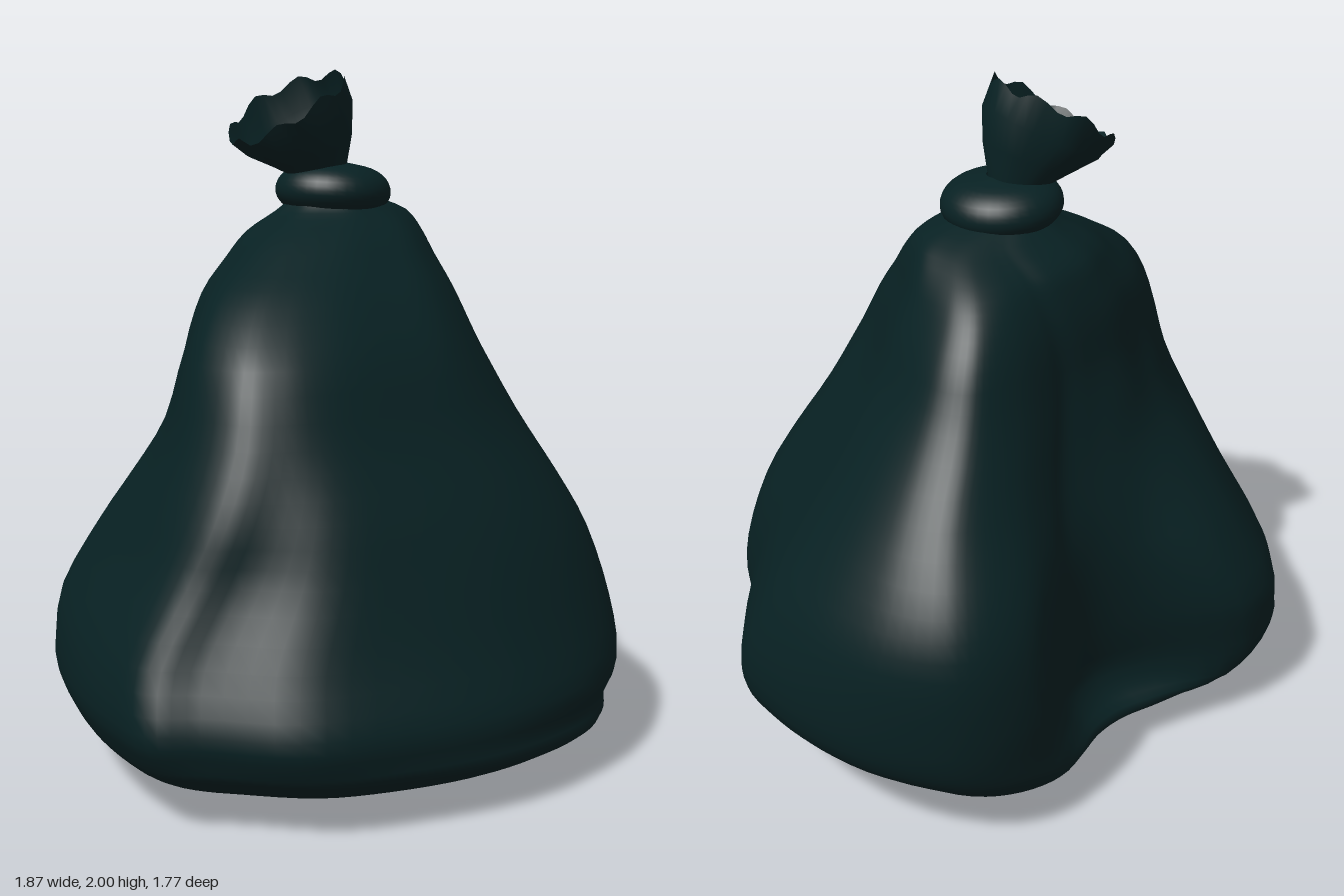
import * as THREE from 'three';

// Plan outlines (x, z) with matching points, running left, front, right, back
const BASE = [
  [-0.8, 0.3], [-0.78, 0.45], [-0.68, 0.56], [-0.5, 0.71], [-0.3, 0.78], [-0.03, 0.82], [0.18, 0.8],
  [0.36, 0.74], [0.5, 0.61], [0.59, 0.44], [0.6, 0.27], [0.6, 0.1], [0.59, -0.05], [0.575, -0.2],
  [0.54, -0.34], [0.49, -0.47], [0.41, -0.59], [0.3, -0.64], [0.18, -0.65], [0.08, -0.62], [0, -0.58],
  [-0.1, -0.55], [-0.25, -0.53], [-0.42, -0.47], [-0.55, -0.37], [-0.65, -0.22], [-0.73, -0.05], [-0.78, 0.13],
];
const LOW = [
  [-0.94, 0.3], [-0.93, 0.5], [-0.81, 0.59], [-0.62, 0.78], [-0.35, 0.85], [-0.03, 0.88], [0.2, 0.85],
  [0.4, 0.78], [0.575, 0.66], [0.69, 0.49], [0.755, 0.27], [0.865, 0.04], [0.935, -0.15], [0.92, -0.32],
  [0.87, -0.5], [0.76, -0.7], [0.59, -0.85], [0.45, -0.885], [0.3, -0.85], [0.19, -0.73], [0.1, -0.62],
  [-0.02, -0.555], [-0.2, -0.56], [-0.5, -0.64], [-0.67, -0.555], [-0.78, -0.38], [-0.85, -0.2], [-0.91, 0.03],
];
const HIGH = [
  [-0.63, 0.29], [-0.585, 0.45], [-0.48, 0.51], [-0.36, 0.53], [-0.2, 0.53], [-0.02, 0.51], [0.14, 0.47],
  [0.28, 0.4], [0.38, 0.31], [0.455, 0.18], [0.5, 0.04], [0.545, -0.11], [0.585, -0.24], [0.6, -0.37],
  [0.59, -0.49], [0.56, -0.58], [0.49, -0.65], [0.4, -0.66], [0.28, -0.63], [0.16, -0.56], [0.08, -0.5],
  [-0.02, -0.46], [-0.16, -0.4], [-0.3, -0.29], [-0.4, -0.2], [-0.49, -0.08], [-0.56, 0.05], [-0.61, 0.17],
];

// Levels: y, xMin, xMax, zMin, zMax, shape (-1 base, 0 low, 1 high outline, 2 round)
const LEVELS = [
  [0.0, -0.25, 0.2, -0.33, 0.25, -1],
  [0.015, -0.47, 0.27, -0.42, 0.45, -1],
  [0.04, -0.62, 0.36, -0.49, 0.64, -1],
  [0.08, -0.75, 0.5, -0.6, 0.77, -1],
  [0.14, -0.86, 0.7, -0.76, 0.865, -0.65],
  [0.2, -0.905, 0.81, -0.815, 0.875, -0.2],
  [0.29, -0.935, 0.92, -0.845, 0.88, 0],
  [0.45, -0.9, 0.935, -0.875, 0.82, 0.05],
  [0.65, -0.8, 0.88, -0.88, 0.755, 0.3],
  [0.81, -0.74, 0.79, -0.83, 0.69, 0.6],
  [1.0, -0.665, 0.66, -0.71, 0.585, 0.9],
  [1.2, -0.6, 0.53, -0.6, 0.49, 1],
  [1.35, -0.49, 0.47, -0.545, 0.36, 1.1],
  [1.45, -0.35, 0.42, -0.49, 0.24, 1.25],
  [1.52, -0.24, 0.38, -0.42, 0.15, 1.5],
  [1.58, -0.12, 0.32, -0.3, 0.06, 1.8],
  [1.62, -0.07, 0.2, -0.22, 0.02, 2],
];

// Skin between closed rings of points; rings run bottom to top
function loft(rings, capBottom) {
  const n = rings[0].length, pos = [], idx = [];
  rings.forEach((r) => r.forEach((p) => pos.push(p.x, p.y, p.z)));
  for (let j = 0; j < rings.length - 1; j++) {
    for (let i = 0; i < n; i++) {
      const a = j * n + i, b = j * n + (i + 1) % n;
      idx.push(a, b, a + n, b, b + n, a + n);
    }
  }
  if (capBottom) {
    const c = rings[0].reduce((s, p) => s.add(p), new THREE.Vector3()).divideScalar(n);
    pos.push(c.x, c.y, c.z);
    for (let i = 0; i < n; i++) idx.push(pos.length / 3 - 1, (i + 1) % n, i);
  }
  const g = new THREE.BufferGeometry();
  g.setAttribute('position', new THREE.Float32BufferAttribute(pos, 3));
  g.setIndex(idx);
  g.computeVertexNormals();
  return g;
}

// Interpolate the level table smoothly
function levelAt(t) {
  const f = t * (LEVELS.length - 1), i = Math.min(Math.floor(f), LEVELS.length - 2), w = f - i;
  const row = (k) => LEVELS[THREE.MathUtils.clamp(k, 0, LEVELS.length - 1)];
  return LEVELS[0].map((_, c) => {
    const [p, a, b, q] = [row(i - 1)[c], row(i)[c], row(i + 1)[c], row(i + 2)[c]];
    const m0 = (b - p) / 2, m1 = (q - a) / 2;
    return a + w * m0 + w * w * (3 * (b - a) - 2 * m0 - m1) + w * w * w * (2 * (a - b) + m0 + m1);
  });
}

// Smooth an outline and fit it to a unit box centred on zero
function unitOutline(points) {
  const count = points.length * 4;
  const curve = new THREE.CatmullRomCurve3(points.map(([x, z]) => new THREE.Vector3(x, 0, z)), true);
  const pts = curve.getPoints(count).slice(0, count);
  const box = new THREE.Box3().setFromPoints(pts);
  const size = box.getSize(new THREE.Vector3()).setY(1), mid = box.getCenter(new THREE.Vector3());
  return pts.map((p) => p.sub(mid).divide(size));
}

function sackGeometry() {
  const [base, low, high] = [BASE, LOW, HIGH].map(unitOutline);
  const shapes = [base, low, high, high.map((p) => p.clone().setLength(0.5))];
  const rings = [];
  for (let j = 0; j <= 48; j++) {
    const [y, x0, x1, z0, z1, k] = levelAt(j / 48);
    const s = THREE.MathUtils.clamp(k + 1, 0, 3), from = Math.min(Math.floor(s), 2);
    rings.push(shapes[from].map((p, i) => {
      const q = p.clone().lerp(shapes[from + 1][i], s - from);
      // Shallow gathers running down from the neck
      const a = Math.atan2(q.z, q.x);
      q.multiplyScalar(1 + 0.01 * Math.sin(9 * a + 2 * y) * THREE.MathUtils.smoothstep(y, 0.9, 1.4));
      return new THREE.Vector3((x0 + x1) / 2 + q.x * (x1 - x0), Math.max(0, y), (z0 + z1) / 2 + q.z * (z1 - z0));
    }));
  }
  return loft(rings, true);
}

// Flared, leaning mouth: each ring has a centre, a tilted side axis and a depth
function tuftGeometry() {
  const stations = [
    // centre x, y, side axis x, y, half depth
    [0.03, 1.66, 0.075, 0.0, 0.075],
    [0.02, 1.705, 0.085, 0.02, 0.085],
    [-0.005, 1.765, 0.12, 0.055, 0.125],
    [-0.05, 1.83, 0.16, 0.088, 0.165],
    [-0.09, 1.885, 0.168, 0.1, 0.182],
  ];
  const n = 40;
  return loft(stations.map(([cx, cy, ax, ay, d], j) => Array.from({ length: n }, (_, i) => {
    const a = -(i / n) * Math.PI * 2, c = Math.cos(a), s = Math.sin(a);
    const fold = 1 + 0.025 * Math.sin(7 * a) * (j / 4);
    const jag = j === 4 ? 0.015 * Math.cos(8 * a) + 0.02 * s * s : 0;
    return new THREE.Vector3(cx + c * ax * fold, cy + c * ay + jag, -0.11 + s * d * fold);
  })), false);
}

// Rolled collar where the neck is tied
function collarGeometry() {
  const profile = [[0.05, -0.075], [0.125, -0.065], [0.162, -0.04], [0.175, -0.005], [0.16, 0.035], [0.115, 0.065], [0.04, 0.08]];
  const curve = new THREE.SplineCurve(profile.map(([x, y]) => new THREE.Vector2(x, y)));
  return new THREE.LatheGeometry(curve.getPoints(18), 36);
}

export function createModel() {
  const bag = new THREE.MeshStandardMaterial({ color: 0x082123, side: THREE.DoubleSide });
  bag.name = 'dark green plastic';
  const group = new THREE.Group();
  group.name = 'tiedSack';
  const add = (name, geometry) => {
    const mesh = new THREE.Mesh(geometry, bag);
    mesh.name = name;
    group.add(mesh);
    return mesh;
  };
  add('sackBody', sackGeometry());
  add('mouthTuft', tuftGeometry());
  const collar = add('tiedCollar', collarGeometry());
  collar.position.set(0.065, 1.645, -0.1);
  collar.rotation.z = -0.05;
  return group;
}
